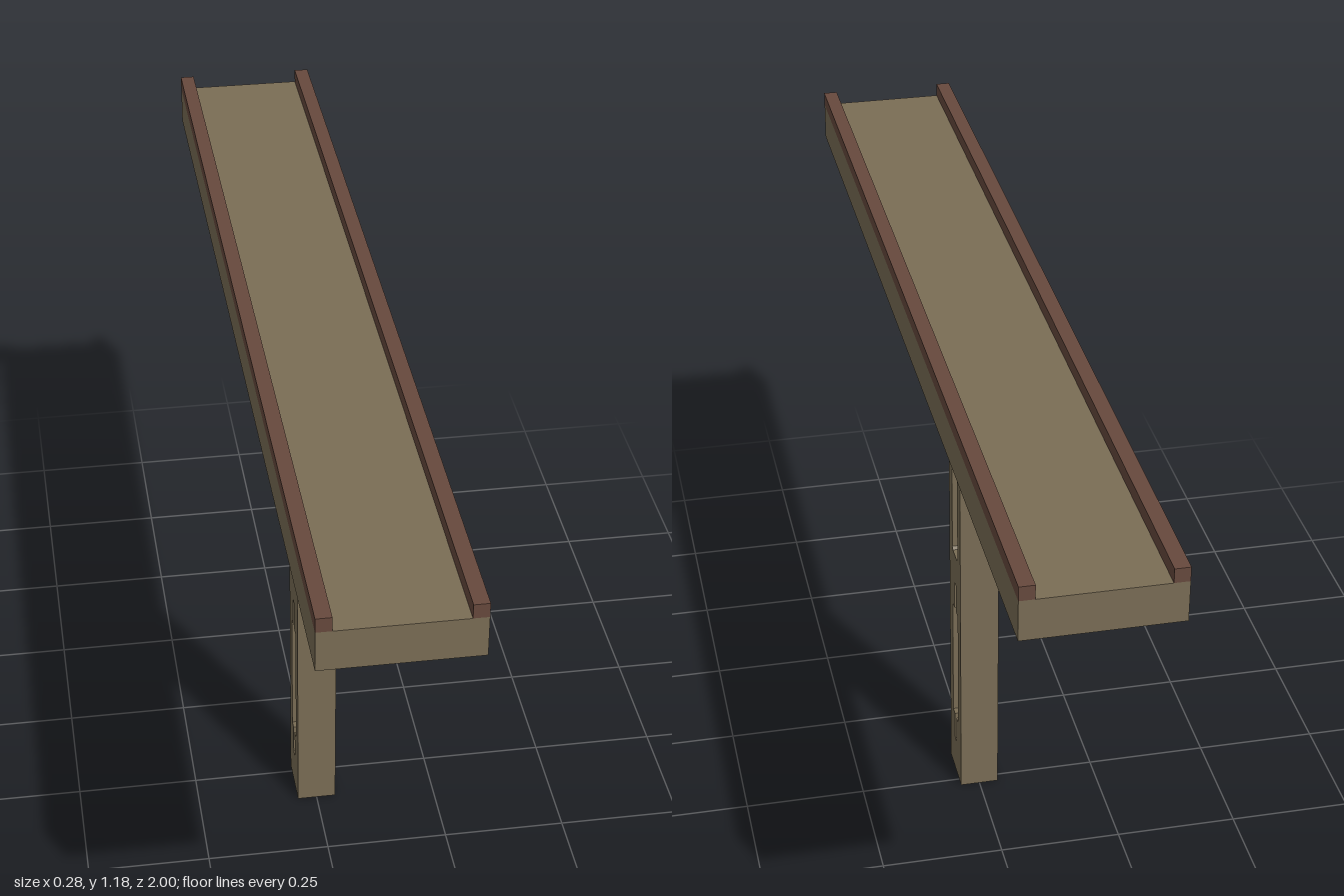
import * as THREE from 'three';

const STONE = new THREE.MeshStandardMaterial({ color: 0x7a6d55 });
const RAIL = new THREE.MeshStandardMaterial({ color: 0x67493d });
const PIER_Z = 0.035;
const PIER_HALF_X = 0.04;
const PIER_HALF_Z = 0.056;

function box(name, material, size, position) {
  const mesh = new THREE.Mesh(new THREE.BoxGeometry(...size), material);
  mesh.name = name;
  mesh.position.set(...position);
  return mesh;
}

function outline(points, Type) {
  return new Type(points.map(([x, y]) => new THREE.Vector2(x, y)));
}

// Rectangular pier pierced from side to side by two openings
function createPier() {
  const shape = outline([
    [-PIER_HALF_Z, 0], [PIER_HALF_Z, 0], [PIER_HALF_Z, 1.0], [-PIER_HALF_Z, 1.0],
  ], THREE.Shape);

  // Right half of each opening, bottom to top, mirrored to the left
  const openings = [
    [[0.021, 0.555], [0.026, 0.561], [0.026, 0.939], [0.021, 0.945]],
    [[0.008, 0.08], [0.008, 0.145], [0.026, 0.145], [0.026, 0.42], [0.008, 0.42], [0.008, 0.485]],
  ];
  for (const half of openings) {
    const mirrored = half.map(([x, y]) => [-x, y]).reverse();
    shape.holes.push(outline([...half, ...mirrored], THREE.Path));
  }

  const geometry = new THREE.ExtrudeGeometry(shape, { depth: 2 * PIER_HALF_X, bevelEnabled: false });
  geometry.rotateY(-Math.PI / 2);
  geometry.translate(PIER_HALF_X, 0, PIER_Z);
  const mesh = new THREE.Mesh(geometry, STONE);
  mesh.name = 'pier';
  return mesh;
}

// Stepped, flaring capital lofted through rectangles of growing size
function createCapital() {
  const profile = [ // [spread from pier (0) to deck edge (1), height]
    [0, 0.995], [0.03, 1.005], [0.1, 1.013], [0.22, 1.024], [0.36, 1.034], [0.44, 1.039],
    [0.44, 1.043], [0.52, 1.046], [0.52, 1.049], [0.69, 1.052], [0.69, 1.059],
    [0.76, 1.061], [1, 1.071], [1, 1.074],
  ];
  const corners = [[-1, 1], [1, 1], [1, -1], [-1, -1]];
  const corner = ([t, y], [sx, sz]) => [
    sx * (PIER_HALF_X + 0.1 * t), y, PIER_Z + sz * (PIER_HALF_Z + 0.151 * t),
  ];
  const positions = [];
  for (let i = 0; i < profile.length - 1; i++) {
    for (let k = 0; k < 4; k++) {
      const next = corners[(k + 1) % 4];
      const a = corner(profile[i], corners[k]);
      const b = corner(profile[i], next);
      const c = corner(profile[i + 1], next);
      const d = corner(profile[i + 1], corners[k]);
      positions.push(...a, ...b, ...c, ...a, ...c, ...d);
    }
  }
  const geometry = new THREE.BufferGeometry();
  geometry.setAttribute('position', new THREE.Float32BufferAttribute(positions, 3));
  geometry.computeVertexNormals();
  const mesh = new THREE.Mesh(geometry, STONE);
  mesh.name = 'capital';
  return mesh;
}

export function createModel() {
  const group = new THREE.Group();
  group.name = 'bridgeSection';
  group.add(createPier(), createCapital());

  // Deck slab with a low rail along both edges
  group.add(box('deck', STONE, [0.282, 0.077, 2], [0, 1.1105, 0]));
  for (const [name, side] of [['leftRail', 1], ['rightRail', -1]]) {
    group.add(box(name, RAIL, [0.028, 0.027, 2], [side * 0.127, 1.1625, 0]));
  }
  return group;
}
